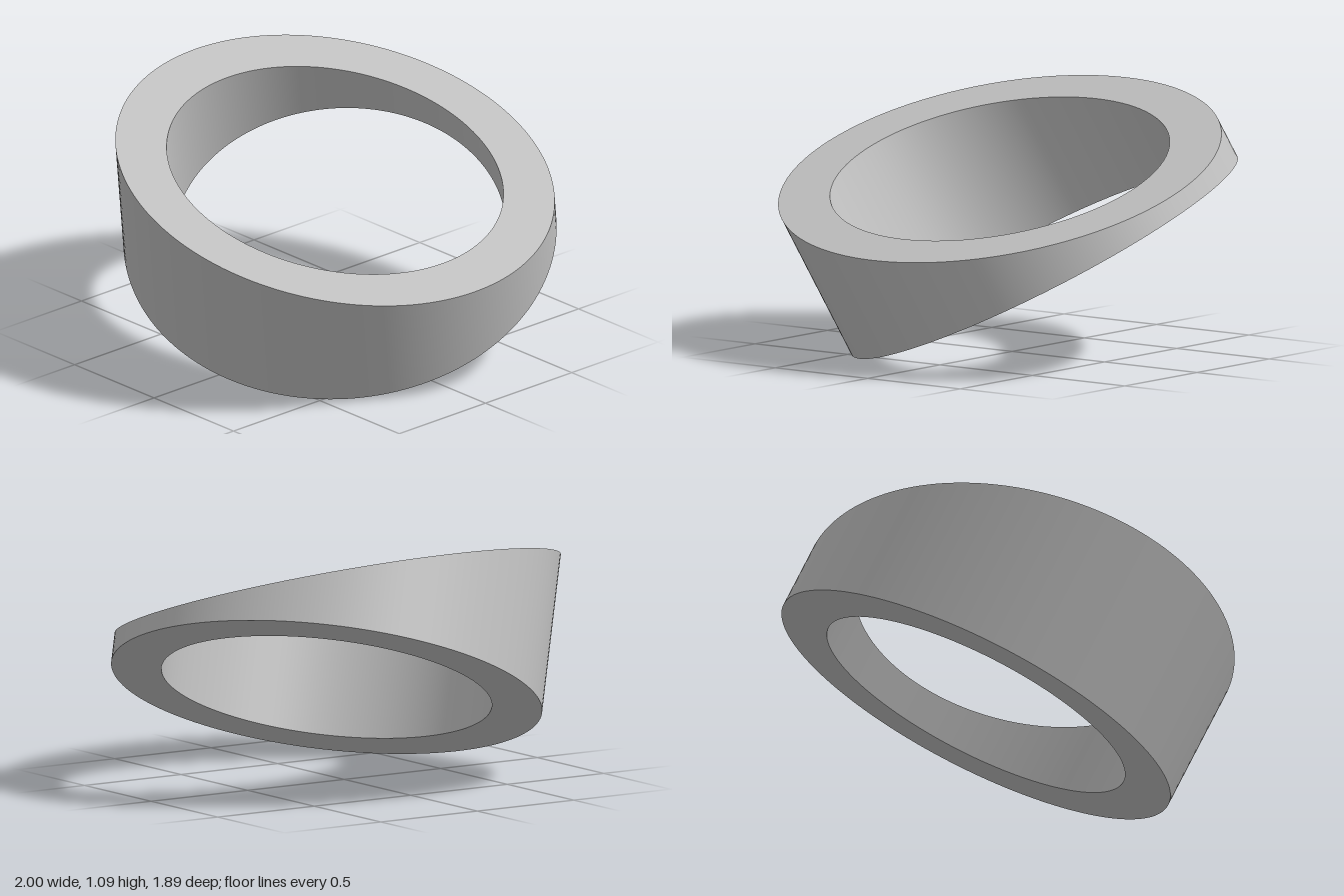
import * as THREE from 'three';

const OUTER = 0.925, INNER = 0.709, HEIGHT = 0.42;
const CUT = THREE.MathUtils.degToRad(20);
const PITCH = Math.atan(1 / 3);

export function createModel() {
  const group = new THREE.Group();
  group.name = 'wedgeRing';
  const grey = new THREE.MeshStandardMaterial({ color: 0xbfbfbf });
  grey.name = 'plain grey';

  // One lathed face of the ring; its upper vertices follow the slanted cut
  const addFace = (name, r0, y0, r1, y1) => {
    const geo = new THREE.LatheGeometry([new THREE.Vector2(r0, y0), new THREE.Vector2(r1, y1)], 160);
    const pos = geo.attributes.position;
    for (let i = 0; i < pos.count; i++) {
      if (pos.getY(i) > 0.01) pos.setY(i, HEIGHT - pos.getX(i) * Math.tan(CUT));
    }
    // Walls keep their radial normals, the slanted cap needs new ones
    if (y0 > 0 && y1 > 0) geo.computeVertexNormals();
    const mesh = new THREE.Mesh(geo, grey);
    mesh.name = name;
    group.add(mesh);
  };

  addFace('outerWall', OUTER, 0, OUTER, HEIGHT);
  addFace('slantedTop', OUTER, HEIGHT, INNER, HEIGHT);
  addFace('innerWall', INNER, HEIGHT, INNER, 0);
  addFace('squareBase', INNER, 0, OUTER, 0);

  // Lean the whole ring on the lowest point of its base
  group.rotation.set(PITCH, 0, CUT);
  group.position.set(0.13, 0.42, -0.057);

  const root = new THREE.Group();
  root.name = 'model';
  root.add(group);
  return root;
}
